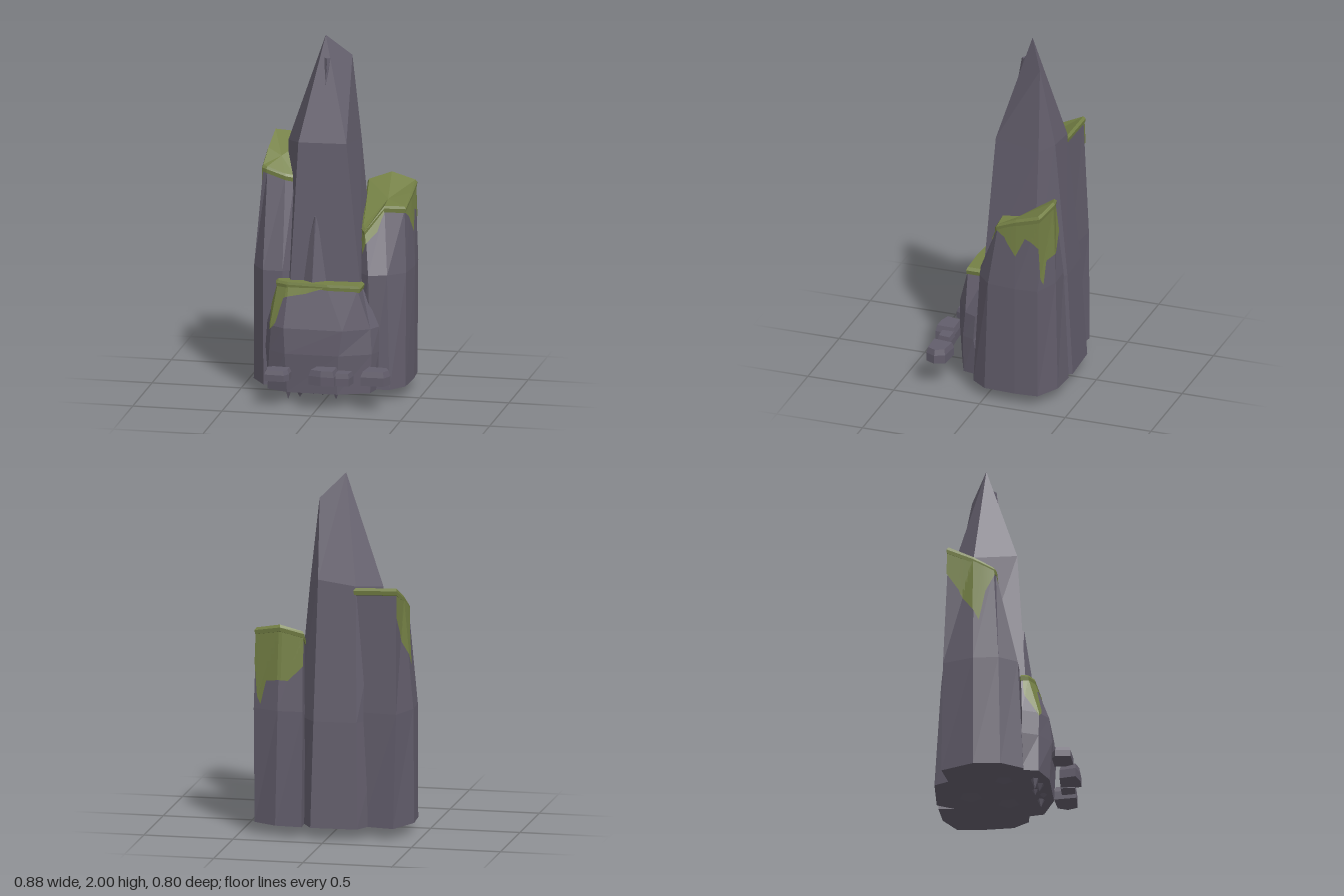
import * as THREE from 'three';

const rock = new THREE.MeshStandardMaterial({ color: 0x625d6b, flatShading: true });
rock.name = 'slate rock';
const moss = new THREE.MeshStandardMaterial({ color: 0x748045, flatShading: true, side: THREE.DoubleSide });
moss.name = 'moss green';

// A ring is a list of corners [x, z] at height y, or [x, z, ownHeight].
const ring = (y, pts) => pts.map(([x, z, h]) => new THREE.Vector3(x, h ?? y, z));
const centre = (pts) => pts.reduce((s, p) => s.add(p), new THREE.Vector3()).divideScalar(pts.length);

function facets(name, points, material) {
  const geometry = new THREE.BufferGeometry().setFromPoints(points);
  geometry.computeVertexNormals();
  const mesh = new THREE.Mesh(geometry, material);
  mesh.name = name;
  return mesh;
}

// Closed faceted solid through a stack of rings
function loft(name, rings, material) {
  const tris = [];
  const n = rings[0].length;
  const low = centre(rings[0]);
  const high = centre(rings.at(-1));
  for (let i = 0; i < n; i++) {
    const j = (i + 1) % n;
    for (let k = 0; k < rings.length - 1; k++) {
      const a = rings[k][i], b = rings[k][j], c = rings[k + 1][j], d = rings[k + 1][i];
      tris.push(a, b, c, a, c, d);
    }
    tris.push(low, rings[0][j], rings[0][i], high, rings.at(-1)[i], rings.at(-1)[j]);
  }
  return facets(name, tris, material);
}

// Point on the faceted side: u counts corners, t counts rings; pushed slightly outwards
function onSide(rings, u, t) {
  const n = rings[0].length;
  const i = Math.floor(u), k = Math.min(Math.floor(t), rings.length - 2);
  const fu = u - i, ft = t - k;
  const a = rings[k][i % n], b = rings[k][(i + 1) % n];
  const c = rings[k + 1][(i + 1) % n], d = rings[k + 1][i % n];
  const p = a.clone();
  if (fu > ft) p.addScaledVector(b, fu).addScaledVector(a, -fu).addScaledVector(c, ft).addScaledVector(b, -ft);
  else p.addScaledVector(d, ft).addScaledVector(a, -ft).addScaledVector(c, fu).addScaledVector(d, -fu);
  const out = p.clone().sub(centre(rings[k])).setY(0).normalize();
  return p.addScaledVector(out, 0.006);
}

// Moss running down the side; profile holds [u, t of lower edge]
function drip(name, rings, profile) {
  const tris = [], top = rings.length - 1, rows = 8, cols = 6;
  for (let s = 0; s < profile.length - 1; s++) {
    const [u0, t0] = profile[s], [u1, t1] = profile[s + 1];
    const at = (c, r) => {
      const f = c / cols, low = t0 + (t1 - t0) * f;
      return onSide(rings, u0 + (u1 - u0) * f, low + (top - low) * r / rows);
    };
    for (let c = 0; c < cols; c++) for (let r = 0; r < rows; r++) {
      const p = at(c, r), q = at(c + 1, r), v = at(c + 1, r + 1), w = at(c, r + 1);
      tris.push(p, q, v, p, v, w);
    }
  }
  return facets(name, tris, moss);
}

// Thin moss slab slightly wider than the top of a column
function cap(name, rings) {
  const top = rings.at(-1), mid = centre(top);
  const layer = (grow, lift) => top.map((p) => {
    const q = p.clone().sub(mid);
    return q.set(q.x * grow, q.y, q.z * grow).add(mid).setY(p.y + lift);
  });
  return loft(name, [layer(1.05, -0.015), layer(1.07, 0.008), layer(1.0, 0.022)], moss);
}

export function createModel() {
  const model = new THREE.Group();

  // Tall central spire with a main tip and a lower shoulder tip
  const tip = [-0.05, -0.11, 2.0], shoulder = [0.08, -0.2, 1.87];
  model.add(loft('centralSpire', [
    ring(0.06, [[-0.2, 0.16], [0.18, 0.12], [0.23, -0.15], [0.09, -0.395], [-0.17, -0.385], [-0.29, -0.15]]),
    ring(0.65, [[-0.2, 0.12], [0.185, 0.09], [0.2, -0.21], [0.08, -0.36], [-0.16, -0.35], [-0.28, -0.15]]),
    ring(1.43, [[-0.165, 0.07], [0.1, 0.05], [0.13, -0.21, 1.4], [0.07, -0.285], [-0.14, -0.28, 1.4], [-0.27, -0.16, 1.38]]),
    ring(2, [tip, tip, shoulder, shoulder, tip, tip]),
  ], rock));

  // Slivers of rock on the spire's front
  model.add(loft('frontSliver', [
    ring(0.65, [[-0.16, 0.09], [-0.07, 0.155], [0.02, 0.09]]),
    ring(1.02, [[-0.07, 0.09], [-0.065, 0.1], [-0.06, 0.09]]),
  ], rock));
  model.add(loft('tipSliver', [
    ring(1.74, [[-0.04, -0.04], [-0.035, -0.03], [-0.03, -0.04]]),
    ring(1.88, [[-0.05, -0.07], [-0.03, -0.055], [-0.015, -0.07]]),
  ], rock));

  // Side columns and front block, each with a moss cap and drips
  const columns = {
    left: {
      rings: [
        ring(0.06, [[0.16, 0.05], [0.25, 0.1], [0.35, 0.09], [0.42, 0], [0.43, -0.18], [0.42, -0.31], [0.29, -0.38], [0.14, -0.39]]),
        ring(0.7, [[0.17, 0.03], [0.23, 0.09], [0.33, 0.06], [0.42, -0.02], [0.435, -0.18], [0.425, -0.31], [0.28, -0.365], [0.14, -0.36]]),
        ring(1.1, [[0.18, -0.02, 0.93], [0.2, 0.01, 0.92], [0.29, -0.06, 1.04], [0.4, -0.07, 1.04], [0.41, -0.18, 1.09],
          [0.41, -0.31, 1.13], [0.27, -0.345, 1.16], [0.15, -0.31, 1.12]]),
      ],
      drips: [
        [[0, 1.8], [0.6, 1.5], [1, 1.75], [1.6, 1.7], [2, 1.95]],
        [[3, 1.97], [3.5, 1.8], [4, 1.5], [4.4, 1.75], [5, 1.6], [5.15, 1.15], [5.3, 1.06], [5.5, 1.35], [6.4, 1.4], [7, 1.6]],
      ],
    },
    right: {
      rings: [
        ring(0.06, [[-0.43, 0], [-0.35, 0.12], [-0.24, 0.11], [-0.18, 0.03], [-0.18, -0.3], [-0.36, -0.33], [-0.44, -0.15]]),
        ring(0.7, [[-0.43, -0.01], [-0.36, 0.09], [-0.25, 0.09], [-0.18, 0.02], [-0.16, -0.3], [-0.375, -0.32], [-0.435, -0.15]]),
        ring(1.3, [[-0.385, -0.04, 1.24], [-0.36, -0.03, 1.235], [-0.26, -0.03, 1.2], [-0.21, -0.04, 1.19],
          [-0.14, -0.28, 1.37], [-0.37, -0.29, 1.38], [-0.38, -0.15, 1.31]]),
      ],
      drips: [[[5, 1.8], [5.5, 1.7], [6, 1.5], [6.3, 1.42], [6.6, 1.75], [7, 1.95]]],
    },
    front: {
      rings: [
        ring(0.06, [[-0.33, 0.1], [-0.31, 0.2], [-0.19, 0.25], [0.09, 0.25], [0.26, 0.18], [0.28, 0.08], [0, 0]]),
        ring(0.28, [[-0.34, 0.11], [-0.3, 0.2], [-0.2, 0.265], [0.1, 0.26], [0.27, 0.18], [0.295, 0.11], [0, 0]]),
        ring(0.42, [[-0.33, 0.11], [-0.29, 0.2], [-0.21, 0.25], [0.12, 0.25], [0.26, 0.17], [0.295, 0.1], [0, 0]]),
        ring(0.64, [[-0.27, 0.1], [-0.26, 0.14], [-0.2, 0.17], [0.02, 0.185], [0.19, 0.18], [0.19, 0.07], [0, 0.02]]),
      ],
      drips: [[[0.3, 2.6], [0.7, 2.2], [1, 1.85], [1.4, 2.1], [1.8, 2.7], [2.5, 2.85], [2.9, 3]]],
    },
  };
  for (const [side, { rings, drips }] of Object.entries(columns)) {
    model.add(loft(`${side}Column`, rings, rock), cap(`${side}MossCap`, rings));
    drips.forEach((profile) => model.add(drip(`${side}MossDrip`, rings, profile)));
  }

  // Loose stones in front, with chamfered tops
  const stones = [
    [0.15, 0.21, [[-0.29, 0.375], [-0.18, 0.38], [-0.16, 0.34], [-0.16, 0.275], [-0.265, 0.27], [-0.3, 0.29]]],
    [0.145, 0.228, [[-0.04, 0.38], [0.03, 0.4], [0.105, 0.4], [0.108, 0.285], [-0.02, 0.29]]],
    [0.14, 0.21, [[0.1, 0.365], [0.18, 0.36], [0.19, 0.285], [0.1, 0.285]]],
    [0.148, 0.228, [[0.245, 0.36], [0.375, 0.355], [0.4, 0.3], [0.375, 0.245], [0.26, 0.235]]],
  ];
  for (const [low, high, pts] of stones) {
    const base = ring(low, pts), mid = centre(base);
    const shrunk = base.map((p) => p.clone().lerp(mid, 0.14).setY(high));
    const waist = base.map((p) => p.clone().setY(low + (high - low) * 0.6));
    model.add(loft('looseStone', [base, waist, shrunk], rock));
  }

  // Jagged rubble under the base: [x, z, radius, depth]
  const rubble = [[-0.2, 0.17, 0.03, 0.06], [-0.13, 0.19, 0.04, 0.04], [-0.06, 0.16, 0.03, 0.03],
    [0.07, 0.18, 0.03, 0.045], [0, 0.2, 0.04, 0.02], [-0.2, 0, 0.1, 0.02], [0.1, 0, 0.12, 0.02], [0, -0.2, 0.13, 0.02]];
  rubble.forEach(([x, z, r, depth], i) => {
    const shard = new THREE.Mesh(new THREE.ConeGeometry(r, depth + 0.02, 5), rock);
    shard.name = 'baseRubble';
    shard.rotation.set(Math.PI, i * 1.3, 0);
    shard.position.set(x, 0.06 - depth + (depth + 0.02) / 2, z);
    model.add(shard);
  });

  return model;
}
